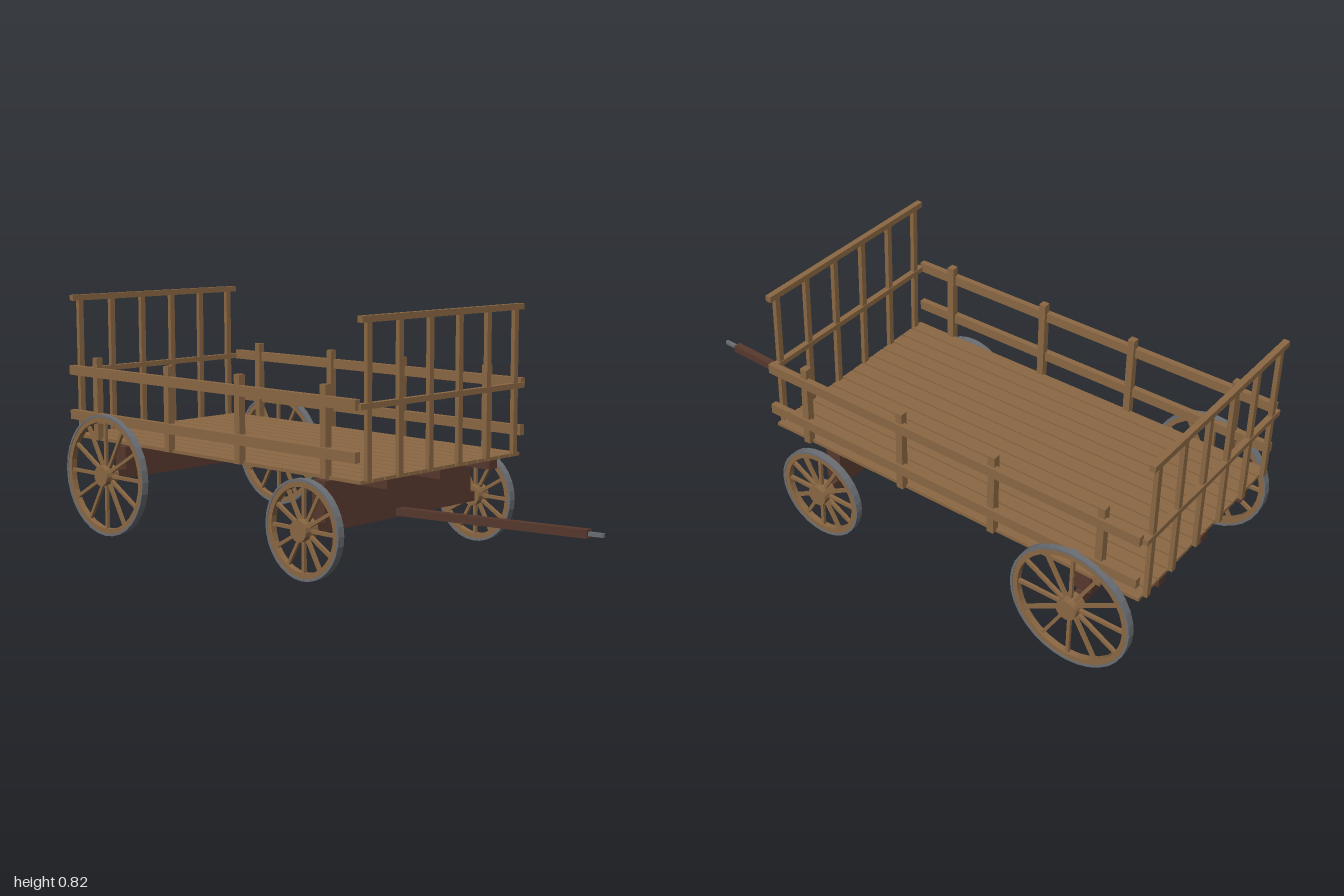
import * as THREE from 'three';

const wood = new THREE.MeshStandardMaterial({ color: 0x8b6843 });
wood.name = 'wood';
const darkWood = new THREE.MeshStandardMaterial({ color: 0x58392d });
darkWood.name = 'darkWood';
const iron = new THREE.MeshStandardMaterial({ color: 0x6b6e73 });
iron.name = 'iron';

const FRONT = 0.397, BACK = -0.99;
const BED_LENGTH = 1.38, BED_Z = -0.293;

function add(parent, name, geometry, material, x = 0, y = 0, z = 0) {
  const mesh = new THREE.Mesh(geometry, material);
  mesh.name = name;
  mesh.position.set(x, y, z);
  parent.add(mesh);
  return mesh;
}

function box(parent, name, material, w, h, d, x, y, z) {
  return add(parent, name, new THREE.BoxGeometry(w, h, d), material, x, y, z);
}

// Flat-sided ring lying around the z axis, centred on z = 0
function ring(outer, inner, width) {
  const shape = new THREE.Shape().absarc(0, 0, outer, 0, Math.PI * 2, false);
  shape.holes.push(new THREE.Path().absarc(0, 0, inner, 0, Math.PI * 2, true));
  return new THREE.ExtrudeGeometry(shape, { depth: width, bevelEnabled: false, curveSegments: 16 })
    .translate(0, 0, -width / 2);
}

// Spoked wheel with its axis along x
function wheel(name, radius) {
  const group = new THREE.Group();
  group.name = name;
  const spin = new THREE.Group();
  spin.name = 'wheelParts';
  spin.rotation.y = Math.PI / 2;
  group.add(spin);
  add(spin, 'tyre', ring(radius, radius - 0.008, 0.025), iron);
  add(spin, 'felloe', ring(radius - 0.008, radius - 0.025, 0.021), wood);
  const hub = new THREE.CylinderGeometry(0.035, 0.035, 0.053, 16).rotateX(Math.PI / 2).toNonIndexed();
  hub.computeVertexNormals();
  add(spin, 'hub', hub, wood);
  const length = radius - 0.045;
  for (let i = 0; i < 12; i++) {
    const spoke = box(spin, 'spoke', wood, length, 0.011, 0.011, 0, 0, 0);
    const a = (i / 12) * Math.PI * 2, r = 0.027 + length / 2;
    spoke.position.set(Math.cos(a) * r, Math.sin(a) * r, 0);
    spoke.rotation.z = a;
  }
  return group;
}

// Axle, bolster and a pair of wheels
function axleSet(name, z, y, radius) {
  const group = new THREE.Group();
  group.name = name;
  box(group, 'axle', darkWood, 0.8, 0.033, 0.034, 0, y, z);
  const low = y + 0.0165, high = 0.306;
  box(group, 'bolster', darkWood, 0.69, high - low, 0.056, 0, (low + high) / 2, z);
  for (const side of [-1, 1]) {
    const w = wheel('wheel', radius);
    w.position.set(side * 0.407, y, z);
    group.add(w);
  }
  return group;
}

// Tall slatted end gate
function endGate(name, z) {
  const group = new THREE.Group();
  group.name = name;
  box(group, 'topRail', wood, 0.76, 0.02, 0.02, 0, 0.81, z);
  box(group, 'middleRail', wood, 0.77, 0.018, 0.02, 0, 0.554, z);
  for (let i = 0; i < 6; i++) {
    box(group, 'slat', wood, 0.02, 0.472, 0.015, -0.345 + i * 0.138, 0.564, z);
  }
  return group;
}

// Low side with stakes and two outer rails
function sideRack(side) {
  const group = new THREE.Group();
  group.name = side > 0 ? 'leftSide' : 'rightSide';
  for (const z of [0.256, -0.125, -0.47, -0.85]) {
    box(group, 'stake', wood, 0.025, 0.285, 0.024, side * 0.38, 0.4675, z);
  }
  for (const y of [0.56, 0.404]) {
    box(group, 'sideRail', wood, 0.021, 0.033, BED_LENGTH, side * 0.39, y, BED_Z);
  }
  return group;
}

export function createModel() {
  const cart = new THREE.Group();
  cart.name = 'hayWagon';

  // Floor planks on three runners
  const bed = new THREE.Group();
  bed.name = 'bed';
  cart.add(bed);
  const count = 14, pitch = 0.76 / count;
  for (let i = 0; i < count; i++) {
    box(bed, 'plank', wood, pitch - 0.006, 0.011, BED_LENGTH, (i - (count - 1) / 2) * pitch, 0.3275, BED_Z);
  }
  for (const x of [-0.242, 0, 0.242]) {
    box(bed, 'runner', darkWood, 0.04, 0.029, BED_LENGTH, x, 0.3075, BED_Z);
  }

  cart.add(endGate('frontGate', FRONT), endGate('backGate', BACK));
  cart.add(sideRack(1), sideRack(-1));
  cart.add(axleSet('frontAxle', 0.19, 0.162, 0.158));
  cart.add(axleSet('rearAxle', -0.777, 0.212, 0.21));

  // Drawbar rising slightly to an iron tip
  const pole = new THREE.Group();
  pole.name = 'drawbar';
  pole.position.set(0, 0.163, 0.19);
  pole.rotation.x = -Math.atan2(0.036, 0.76);
  box(pole, 'pole', darkWood, 0.026, 0.026, 0.76, 0, 0, 0.38);
  box(pole, 'poleTip', iron, 0.012, 0.012, 0.055, 0, 0, 0.783);
  cart.add(pole);

  return cart;
}
